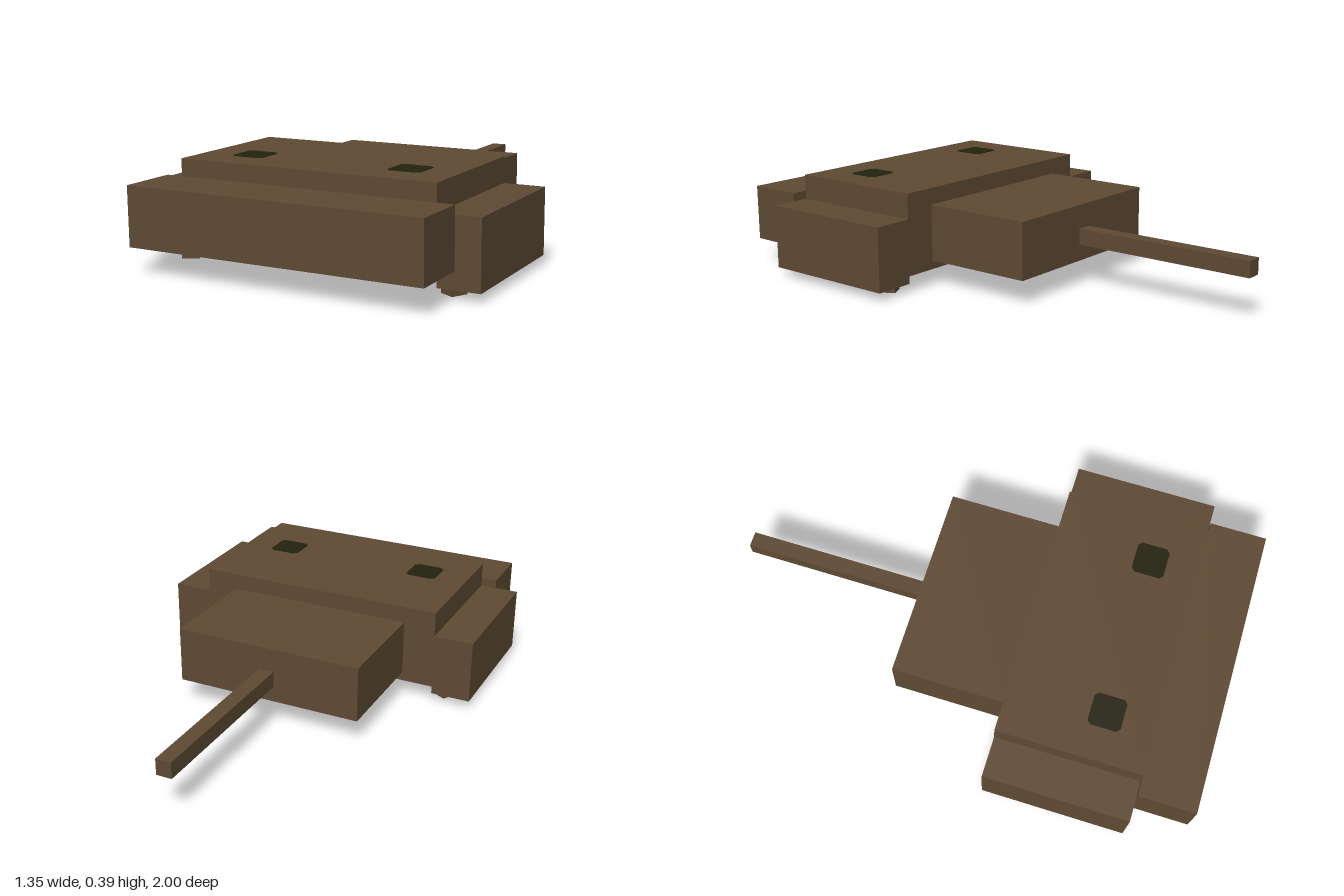
import * as THREE from 'three';

export function createModel() {
  const model = new THREE.Group();
  model.name = 'horseshoeCrab';

  const shellBrown = new THREE.MeshStandardMaterial({ color: 0x5e4a33 });
  shellBrown.name = 'shellBrown';
  const eyeDark = new THREE.MeshStandardMaterial({ color: 0x23220f });
  eyeDark.name = 'eyeDark';

  // Axis-aligned block given by its low and high corners
  function block(name, [x0, y0, z0], [x1, y1, z1]) {
    const mesh = new THREE.Mesh(new THREE.BoxGeometry(x1 - x0, y1 - y0, z1 - z0), shellBrown);
    mesh.position.set((x0 + x1) / 2, (y0 + y1) / 2, (z0 + z1) / 2);
    mesh.name = name;
    model.add(mesh);
    return mesh;
  }

  // Shell, abdomen and tail spine
  block('mainShell', [-0.515, 0.065, 0.195], [0.515, 0.39, 0.772]);
  block('frontShell', [-0.58, 0.1, 0.772], [0.58, 0.324, 1]);
  block('abdomen', [-0.385, 0.1, -0.258], [0.385, 0.324, 0.195]);
  block('tail', [-0.031, 0.165, -1], [0.031, 0.229, -0.258]);

  // Eye plate: square with clipped corners
  const h = 0.064, c = 0.05;
  const outline = [[h, c], [c, h], [-c, h], [-h, c], [-h, -c], [-c, -h], [c, -h], [h, -c]];
  const eyeShape = new THREE.Shape(outline.map(([x, y]) => new THREE.Vector2(x, y)));
  const eyeGeometry = new THREE.ExtrudeGeometry(eyeShape, { depth: 0.003, bevelEnabled: false });
  eyeGeometry.rotateX(-Math.PI / 2);

  for (const [side, s] of [['left', 1], ['right', -1]]) {
    // Side flaps
    const flap = block(side + 'SideShell', [0.515, 0.035, 0.195], [0.675, 0.29, 0.772]);
    flap.position.x *= s;

    // Eyes on top of the shell
    const eye = new THREE.Mesh(eyeGeometry, eyeDark);
    eye.name = side + 'Eye';
    eye.position.set(s * 0.322, 0.389, 0.58);
    model.add(eye);

    // Three stub legs, the outer pairs splayed
    for (const [place, z, turn] of [['Front', 0.693, -0.5], ['Middle', 0.484, 0], ['Rear', 0.278, 0.5]]) {
      const leg = block(side + place + 'Leg', [0.511, 0, z - 0.032], [0.575, 0.064, z + 0.032]);
      leg.position.x *= s;
      leg.rotation.y = s * turn;
    }
  }
  return model;
}
